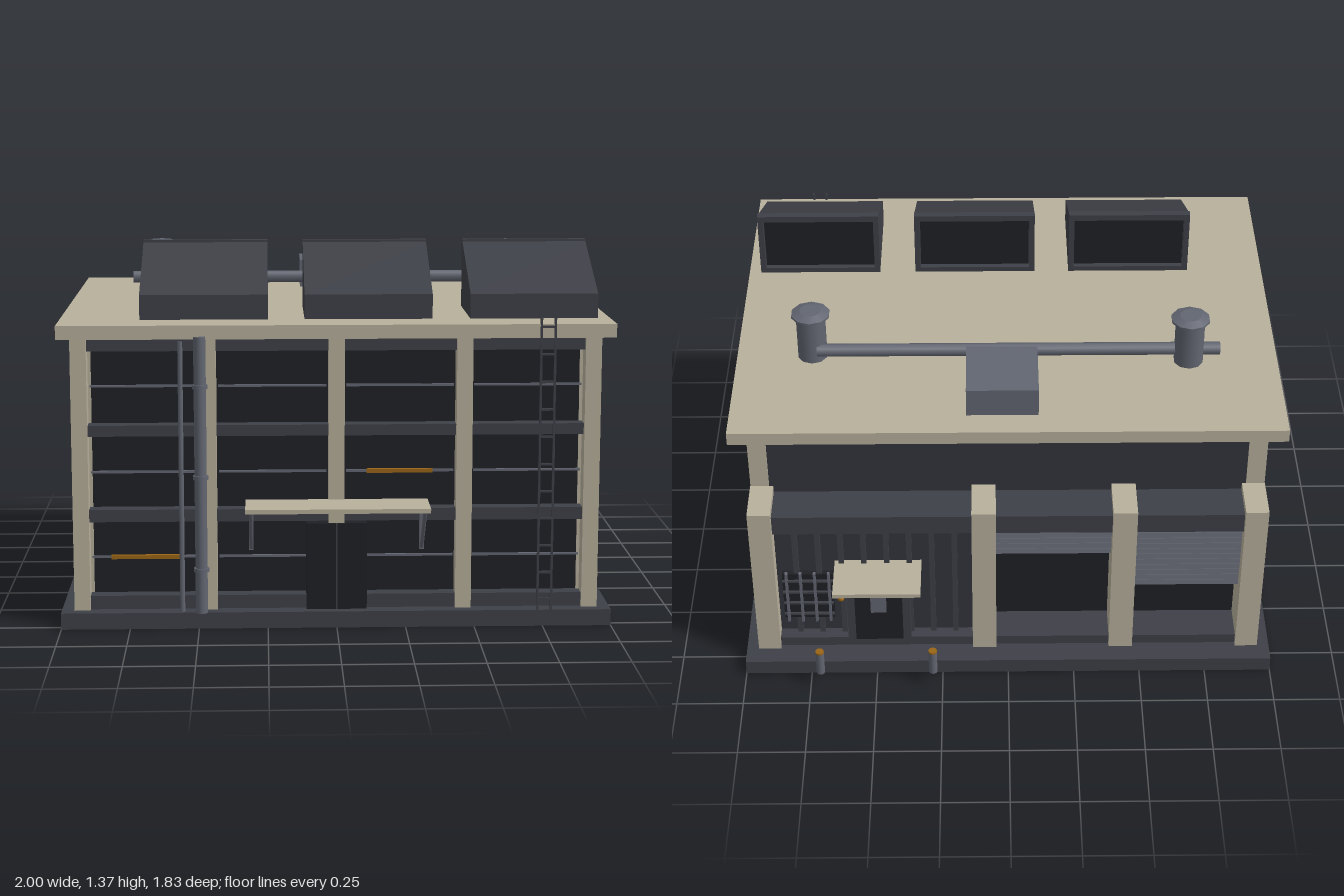
import * as THREE from 'three';

const mat = (color) => new THREE.MeshStandardMaterial({ color });
const M = {
  stone: mat(0xb8b09c), dark: mat(0x3e4047), wall: mat(0x33353c), glass: mat(0x1e2025),
  metal: mat(0x626671), orange: mat(0x9a6516),
};

export function createModel() {
  const root = new THREE.Group();

  const add = (name, geo, m, x = 0, y = 0, z = 0) => {
    const mesh = new THREE.Mesh(geo, m);
    mesh.name = name;
    mesh.position.set(x, y, z);
    root.add(mesh);
    return mesh;
  };
  // box given by its limits on each axis
  const box = (name, m, x0, x1, y0, y1, z0, z1) =>
    add(name, new THREE.BoxGeometry(x1 - x0, y1 - y0, z1 - z0), m, (x0 + x1) / 2, (y0 + y1) / 2, (z0 + z1) / 2);
  // upright cylinder
  const post = (name, m, r, x, y0, y1, z, sides = 12, rTop = r) =>
    add(name, new THREE.CylinderGeometry(rTop, r, y1 - y0, sides), m, x, (y0 + y1) / 2, z);
  // round bar between two points
  const bar = (name, m, r, a, b) => {
    const p = new THREE.Vector3(...a), q = new THREE.Vector3(...b);
    const mesh = add(name, new THREE.CylinderGeometry(r, r, p.distanceTo(q), 8), m);
    mesh.position.copy(p).add(q).multiplyScalar(0.5);
    mesh.quaternion.setFromUnitVectors(new THREE.Vector3(0, 1, 0), q.sub(p).normalize());
    return mesh;
  };

  // Main masses
  box('base', M.dark, -1, 1, 0, 0.06, -0.84, 0.78);
  box('roofSlab', M.stone, -1, 1, 1.06, 1.11, -0.765, 0.78);
  box('glazedCore', M.glass, -0.89, 0.89, 0.06, 1.06, -0.57, 0.665);
  box('backWall', M.wall, -0.9, 0.9, 0.06, 1.06, -0.595, -0.57);

  // Floor bands around the front and both sides
  for (const [y0, y1] of [[0.06, 0.11], [0.385, 0.43], [0.7, 0.74], [1.01, 1.06]])
    box('floorBand', M.dark, -0.937, 0.937, y0, y1, -0.565, 0.722);

  // Columns
  for (const x of [-0.925, -0.462, 0, 0.462, 0.925])
    box('frontColumn', M.stone, x - 0.029, x + 0.029, 0.06, 1.06, 0.672, 0.74);
  for (const s of [-1, 1])
    for (const z of [0.638, 0.24, -0.16, -0.57])
      box('sideColumn', M.stone, Math.min(s * 0.885, s * 0.954), Math.max(s * 0.885, s * 0.954), 0.06, 1.06, z - 0.029, z + 0.029);

  // Window rails
  for (const y of [0.25, 0.565, 0.88]) {
    for (const x of [-0.693, -0.231, 0.231, 0.693])
      box('frontWindowRail', M.metal, x - 0.195, x + 0.195, y - 0.004, y + 0.004, 0.69, 0.7);
    for (const s of [-1, 1])
      for (const z of [0.44, 0.04, -0.365])
        box('sideWindowRail', M.metal, s * 0.915 - 0.005, s * 0.915 + 0.005, y - 0.004, y + 0.004, z - 0.165, z + 0.165);
  }
  box('frontLightStrip', M.orange, -0.82, -0.57, 0.243, 0.257, 0.69, 0.706);
  box('frontLightStrip', M.orange, 0.11, 0.35, 0.558, 0.572, 0.69, 0.706);
  box('sideLightStrip', M.orange, 0.908, 0.924, 0.558, 0.572, -0.07, 0.14);

  // Front door with canopy and brackets
  box('frontDoor', M.glass, -0.11, 0.11, 0.06, 0.38, 0.66, 0.744);
  box('doorSeam', M.dark, -0.003, 0.003, 0.06, 0.38, 0.74, 0.747);
  box('frontCanopy', M.stone, -0.33, 0.33, 0.452, 0.468, 0.735, 0.91);
  for (const s of [-1, 1]) {
    bar('canopyBracket', M.metal, 0.007, [s * 0.31, 0.455, 0.9], [s * 0.31, 0.29, 0.735]);
    box('bracketPlate', M.metal, s * 0.31 - 0.008, s * 0.31 + 0.008, 0.28, 0.45, 0.715, 0.735);
  }

  // Downpipes
  post('downpipe', M.metal, 0.022, -0.49, 0.06, 1.07, 0.778);
  for (const y of [0.22, 0.56, 0.89]) post('pipeClamp', M.metal, 0.028, -0.49, y - 0.007, y + 0.007, 0.778);
  post('thinPipe', M.metal, 0.009, -0.56, 0.06, 1.05, 0.76, 8);

  // Ladder
  for (const x of [0.73, 0.78]) box('ladderRail', M.dark, x - 0.004, x + 0.004, 0.06, 1.135, 0.774, 0.784);
  for (let i = 0; i < 11; i++) box('ladderRung', M.dark, 0.73, 0.78, 0.097 + i * 0.1, 0.105 + i * 0.1, 0.775, 0.783);

  // Wedge skylights with a framed, recessed pane facing the back
  const wedge = new THREE.Shape([[0.275, 1.1], [0.62, 1.1], [0.62, 1.2], [0.275, 1.358]].map((p) => new THREE.Vector2(...p)));
  for (const x of [-0.4775, 0.12, 0.7225]) {
    const body = add('skylight', new THREE.ExtrudeGeometry(wedge, { depth: 0.465, bevelEnabled: false }), M.dark, x + 0.2325);
    body.rotation.y = -Math.PI / 2;
    box('skylightPane', M.glass, x - 0.21, x + 0.21, 1.13, 1.345, 0.27, 0.276);
    for (const s of [-1, 1])
      box('skylightFrameSide', M.dark, x + s * 0.222 - 0.0105, x + s * 0.222 + 0.0105, 1.1, 1.362, 0.248, 0.276);
    box('skylightFrameBottom', M.dark, x - 0.2325, x + 0.2325, 1.1, 1.13, 0.248, 0.276);
    box('skylightFrameTop', M.dark, x - 0.2325, x + 0.2325, 1.342, 1.366, 0.248, 0.276);
  }

  // Roof vents, duct and service box
  for (const [x, z] of [[-0.67, -0.34], [0.72, -0.295]]) {
    post('ventStack', M.metal, 0.055, x, 1.1, 1.295, z, 10);
    post('ventCapRim', M.metal, 0.072, x, 1.292, 1.3, z, 10);
    post('ventCap', M.metal, 0.072, x, 1.3, 1.312, z, 10, 0.04);
  }
  bar('roofDuct', M.metal, 0.024, [-0.785, 1.16, -0.335], [0.7, 1.16, -0.335]);
  box('roofUnit', M.metal, -0.11, 0.15, 1.105, 1.22, -0.665, -0.4);

  // Rear loading annex: piers, lintel, side walls and sill
  for (const [x0, x1] of [[0.87, 0.955], [0.045, 0.135], [-0.475, -0.385], [-0.955, -0.87]])
    box('rearPier', M.stone, x0, x1, 0.06, 0.73, -0.768, -0.597);
  for (const s of [-1, 1])
    box('annexSideWall', M.wall, s * 0.953 - 0.004, s * 0.953 + 0.004, 0.06, 0.728, -0.732, -0.59);
  box('rearLintel', M.dark, -0.88, 0.88, 0.62, 0.7, -0.745, -0.595);
  box('rearSill', M.dark, -0.88, 0.88, 0.06, 0.1, -0.75, -0.595);
  box('loadingOpening', M.glass, -0.88, 0.1, 0.1, 0.62, -0.612, -0.59);

  // Roller shutters made of stacked slats, lowered by different amounts
  for (const [x0, x1, low] of [[-0.385, 0.045, 0.49], [-0.87, -0.475, 0.33]]) {
    box('shutterSheet', M.metal, x0, x1, low, 0.62, -0.7, -0.69);
    for (let y = low; y < 0.61; y += 0.026) {
      const slat = box('shutterSlat', M.metal, x0, x1, y, y + 0.02, -0.715, -0.695);
      slat.rotation.x = 0.25;
    }
  }

  // Rear entrance bay: ribbed wall, barred window, door and canopy
  box('entranceWall', M.wall, 0.135, 0.87, 0.1, 0.62, -0.7, -0.595);
  for (let x = 0.2; x < 0.86; x += 0.085) box('wallRib', M.dark, x - 0.01, x + 0.01, 0.1, 0.62, -0.718, -0.7);
  box('rearWindow', M.glass, 0.66, 0.85, 0.18, 0.4, -0.722, -0.7);
  for (let i = 0; i < 4; i++) {
    box('windowBar', M.metal, 0.675 + i * 0.053 - 0.005, 0.675 + i * 0.053 + 0.005, 0.17, 0.41, -0.735, -0.72);
    box('windowCrossbar', M.dark, 0.66, 0.85, 0.2 + i * 0.055, 0.208 + i * 0.055, -0.732, -0.72);
  }
  box('rearDoorFrame', M.dark, 0.37, 0.61, 0.1, 0.42, -0.755, -0.7);
  box('rearDoor', M.glass, 0.4, 0.58, 0.1, 0.39, -0.76, -0.72);
  box('rearDoorPane', M.metal, 0.46, 0.52, 0.24, 0.35, -0.764, -0.755);
  box('rearCanopy', M.stone, 0.325, 0.65, 0.433, 0.45, -0.89, -0.7);
  add('canopyLamp', new THREE.SphereGeometry(0.013, 12, 8), M.orange, 0.62, 0.41, -0.865);
  post('lampStem', M.metal, 0.004, 0.62, 0.415, 0.435, -0.865, 6);

  // Bollards
  for (const x of [0.285, 0.71]) {
    post('bollard', M.metal, 0.016, x, 0.065, 0.165, -0.9);
    post('bollardCap', M.orange, 0.016, x, 0.165, 0.172, -0.9);
  }
  return root;
}
